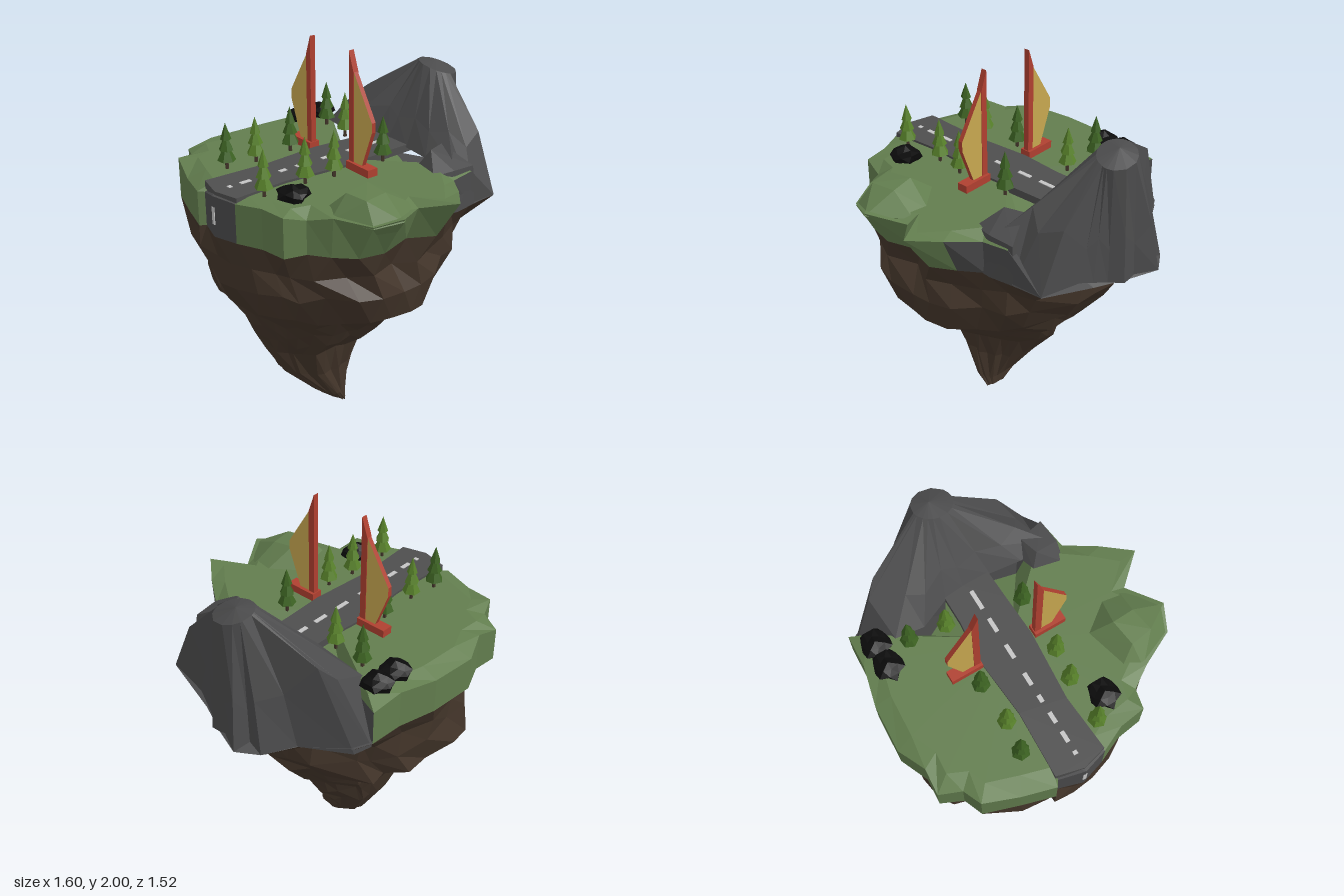
import * as THREE from 'three';
import { ConvexGeometry } from 'three/addons/geometries/ConvexGeometry.js';

const paint = (name, color) => {
  const m = new THREE.MeshStandardMaterial({ color });
  m.name = name;
  return m;
};
const MAT = {
  grass: paint('grass green', 0x627d4e),
  rock: paint('earth brown', 0x43352a),
  stone: paint('stone grey', 0x4b4b4c),
  road: paint('asphalt grey', 0x4e4e4e),
  line: paint('road marking', 0xc4c4c4),
  red: paint('tower red', 0xb04030),
  gold: paint('sail gold', 0xc8a850),
  leafA: paint('light leaf', 0x57802a),
  leafB: paint('dark leaf', 0x3c6222),
  black: paint('charcoal', 0x0c0c0c),
};
const V = (x, y, z) => new THREE.Vector3(x, y, z);
const lerp = THREE.MathUtils.lerp, clamp = THREE.MathUtils.clamp;

let seed = 7;
const rnd = () => ((seed = (seed * 16807) % 2147483647) / 2147483647) * 2 - 1;

function add(parent, name, geometry, material, x = 0, y = 0, z = 0) {
  const m = new THREE.Mesh(geometry, material);
  m.name = name;
  m.position.set(x, y, z);
  parent.add(m);
  return m;
}
function faceted(geometry) {
  const g = geometry.index ? geometry.toNonIndexed() : geometry;
  g.computeVertexNormals();
  return g;
}
// Faceted skin over closed rings listed bottom to top; keep(i, r) selects cells
function loft(rings, keep = () => true) {
  const pts = [];
  const tri = (a, b, c) => {
    if (!a.equals(b) && !b.equals(c) && !a.equals(c)) pts.push(a, b, c);
  };
  for (let r = 0; r + 1 < rings.length; r++) {
    const lo = rings[r], hi = rings[r + 1], n = lo.length;
    for (let i = 0; i < n; i++) {
      if (!keep(i, r)) continue;
      const j = (i + 1) % n;
      tri(lo[i], hi[i], hi[j]);
      tri(lo[i], hi[j], lo[j]);
    }
  }
  return faceted(new THREE.BufferGeometry().setFromPoints(pts));
}

// Island outline seen from above (x, z)
const OUTLINE = [
  [-0.53, -0.71], [-0.40, -0.70], [-0.25, -0.765], [0, -0.75], [0.2, -0.70], [0.38, -0.69],
  [0.45, -0.64], [0.58, -0.40], [0.73, -0.31], [0.80, -0.20], [0.74, -0.04], [0.66, 0.13],
  [0.59, 0.43], [0.40, 0.45], [0.26, 0.47], [0.15, 0.62], [0.03, 0.755], [-0.1, 0.61],
  [-0.28, 0.72], [-0.41, 0.66], [-0.50, 0.48], [-0.57, 0.37], [-0.68, 0.34], [-0.70, 0.2],
  [-0.76, 0.07], [-0.80, -0.06], [-0.76, -0.19], [-0.79, -0.21], [-0.74, -0.38],
  [-0.68, -0.56], [-0.58, -0.60],
];
const CX = -0.05, CZ = -0.02;
const rim = OUTLINE.map(([x, z]) => V(x,
  1.18 - 0.07 * clamp((x - 0.4) / 0.2, 0, 1) * clamp((0.45 - z) / 0.3, 0, 1),
  z > 0.45 ? 0.45 + (z - 0.45) * 0.5 : z));

// Brown rock: jittered rings fitted to bounds [y, xMin, xMax, zMin, zMax]
function buildRock(group) {
  const bounds = [
    [0.02, -0.14, -0.08, -0.08, 0.07], [0.08, -0.23, -0.06, -0.20, 0.08],
    [0.24, -0.39, 0.04, -0.29, 0.08], [0.40, -0.48, 0.17, -0.34, 0.10],
    [0.50, -0.53, 0.21, -0.41, 0.22], [0.60, -0.57, 0.31, -0.46, 0.31],
    [0.69, -0.60, 0.38, -0.56, 0.41], [0.77, -0.69, 0.46, -0.69, 0.55],
    [0.93, -0.77, 0.55, -0.69, 0.58], [1.05, -0.79, 0.56, -0.70, 0.56],
  ];
  const rings = bounds.map(([y, x0, x1, z0, z1], r) => {
    const ring = OUTLINE.map(([x, z]) => {
      const a = Math.atan2(z - CZ, x - CX), s = 1 + 0.09 * rnd();
      return V(lerp(Math.cos(a) * s, x, 0.25), y + rnd() * (r > 3 ? 0.022 : 0.008),
        lerp(Math.sin(a) * s, z, 0.25));
    });
    const box = new THREE.Box3().setFromPoints(ring);
    for (const p of ring) {
      p.x = THREE.MathUtils.mapLinear(p.x, box.min.x, box.max.x, x0, x1);
      p.z = THREE.MathUtils.mapLinear(p.z, box.min.z, box.max.z, z0, z1);
    }
    return ring;
  });
  const tip = rim.map(() => V(-0.1, 0, -0.05)), cap = rim.map(() => V(CX, 1.18, CZ));
  add(group, 'rockBody', loft([tip, ...rings, rim, cap]), MAT.rock);
}

// Grass plateau with grey walls beside the mountain and below the road end
function buildPlateau(group) {
  const shrink = (k, y) => ([x, z]) =>
    x > 0.42 ? V(lerp(CX, x, 0.5), 1.3, lerp(CZ, z, 0.5)) : V(lerp(CX, x, k), y(z), lerp(CZ, z, k));
  const rings = [rim,
    OUTLINE.map(shrink(1, (z) => (z > 0.7 ? 1.405 : 1.375 + 0.02 * rnd()))),
    OUTLINE.map(shrink(0.88, () => 1.4)),
    OUTLINE.map(() => V(CX, 1.4, CZ))];
  const isStone = (i, r) => {
    const [x, z] = OUTLINE[i], [x2, z2] = OUTLINE[(i + 1) % OUTLINE.length];
    const mx = (x + x2) / 2, mz = (z + z2) / 2;
    const roadEnd = mx < -0.7 && mz > -0.2 && mz < 0.08;
    return (roadEnd && r < 2) || (r === 0 && (mx > 0.4 || (mx > 0.15 && mz > 0.3)));
  };
  add(group, 'grassPlateau', loft(rings, (i, r) => !isStone(i, r)), MAT.grass);
  add(group, 'stoneWalls', loft(rings, isStone), MAT.stone);
  add(group, 'grassHill', new ConvexGeometry([
    V(-0.45, 1.39, 0.37), V(-0.22, 1.39, 0.31), V(-0.10, 1.39, 0.47), V(-0.10, 1.38, 0.57),
    V(-0.40, 1.475, 0.45), V(-0.26, 1.485, 0.43), V(-0.38, 1.47, 0.57), V(-0.25, 1.47, 0.55),
    V(-0.28, 1.39, 0.72), V(-0.41, 1.37, 0.66), V(-0.28, 1.2, 0.58), V(-0.50, 1.37, 0.46),
  ]), MAT.grass);
}

// Mountain: foot points [x, y, z, shoulder lift] rising to a small summit
function buildMountain(group) {
  const foot = [
    [0.24, 1.40, -0.50, 0], [0.38, 1.16, -0.685, 0.16], [0.45, 1.13, -0.64, 0.2],
    [0.58, 1.12, -0.40, 0.08], [0.73, 1.11, -0.31, 0.03], [0.72, 1.11, -0.23, 0],
    [0.80, 1.11, -0.20, 0.03], [0.74, 1.11, -0.08, 0], [0.745, 1.11, 0, 0.03],
    [0.69, 1.12, 0.06, 0], [0.66, 1.14, 0.13, 0.02], [0.63, 1.16, 0.20, 0],
    [0.59, 1.18, 0.43, 0.1], [0.43, 1.18, 0.45, 0.09], [0.30, 1.40, 0.42, 0],
    [0.28, 1.40, 0.24, 0], [0.30, 1.40, 0.07, 0], [0.30, 1.40, -0.08, 0],
    [0.29, 1.40, -0.19, 0.01], [0.22, 1.40, -0.35, 0.01],
  ];
  const base = foot.map(([x, y, z]) => V(x, y, z));
  const top = base.map((p) => {
    const a = Math.atan2(p.z + 0.055, p.x - 0.62);
    return V(0.62 + 0.095 * Math.cos(a), 1.745 - 0.02 * Math.cos(a) - 0.02 * Math.sin(a),
      -0.055 + 0.105 * Math.sin(a));
  });
  const mid = base.map((p, i) => {
    const m = p.clone().lerp(top[i], i % 2 ? 0.3 : 0.37);
    m.y += foot[i][3];
    return m;
  });
  add(group, 'mountain', loft([base, mid, top, base.map(() => V(0.62, 1.775, -0.07))]), MAT.stone);
  add(group, 'mountainFoot', new ConvexGeometry([
    V(0.17, 1.18, 0.46), V(0.17, 1.39, 0.42), V(0.21, 1.40, 0.27), V(0.25, 1.475, 0.31),
    V(0.35, 1.475, 0.28), V(0.42, 1.39, 0.44), V(0.43, 1.18, 0.45), V(0.28, 1.40, 0.45),
    V(0.31, 1.39, 0.24), V(0.30, 1.18, 0.47),
  ]), MAT.stone);
}

function buildRoad(group) {
  const shape = new THREE.Shape([[-0.75, -0.07], [-0.45, -0.05], [-0.08, -0.08], [0.15, -0.07],
    [0.42, -0.06], [0.42, 0.19], [0.15, 0.19], [-0.08, 0.21], [-0.4, 0.185], [-0.75, 0.2],
    [-0.785, 0.06]].map(([x, y]) => new THREE.Vector2(x, y)));
  const g = new THREE.ExtrudeGeometry(shape, { depth: 0.04, bevelEnabled: false }).rotateX(-Math.PI / 2);
  add(group, 'road', g, MAT.road, 0, 1.372, 0);
  const dashes = [[-0.71, -0.69], [-0.64, -0.58], [-0.53, -0.47], [-0.41, -0.37], [-0.31, -0.24],
    [-0.15, -0.07], [0.01, 0.09], [0.15, 0.26]];
  for (const [a, b] of dashes)
    add(group, 'laneDash', new THREE.BoxGeometry(b - a, 0.006, 0.022), MAT.line, (a + b) / 2, 1.413, -0.06);
  add(group, 'laneDashEnd', new THREE.BoxGeometry(0.008, 0.09, 0.02), MAT.line, -0.797, 1.29, -0.06);
}

// Red mast with a gold sail growing outward along local +z
function buildTower(group, z, turn) {
  const tower = new THREE.Group();
  tower.name = 'sailTower';
  tower.position.set(-0.08, 0, z);
  tower.rotation.y = turn;
  const slab = (pts, t) => new THREE.ExtrudeGeometry(
    new THREE.Shape(pts.map(([u, y]) => new THREE.Vector2(u, y))), { depth: t, bevelEnabled: false })
    .rotateY(-Math.PI / 2).translate(t / 2, 0, 0);
  add(tower, 'mast', slab([[0, 1.42], [0.035, 1.42], [0.035, 1.90], [0, 2]], 0.03), MAT.red);
  add(tower, 'sail', slab([[0.01, 1.42], [0.09, 1.42], [0.17, 1.63], [0.17, 1.68], [0.035, 1.90],
    [0.01, 1.95]], 0.024), [MAT.gold, MAT.red]);
  add(tower, 'towerBase', new THREE.BoxGeometry(0.06, 0.05, 0.17), MAT.red, 0, 1.415, 0.08);
  group.add(tower);
}

function buildTree(group, x, z, leaf) {
  const tree = new THREE.Group();
  tree.name = 'pineTree';
  tree.position.set(x, 1.4, z);
  add(tree, 'trunk', faceted(new THREE.CylinderGeometry(0.008, 0.01, 0.07, 5)), MAT.rock, 0, 0.03, 0);
  [[0.047, 0.10, 0.045], [0.038, 0.09, 0.10], [0.028, 0.085, 0.155]].forEach(([r, h, y], i) => {
    const cone = faceted(new THREE.ConeGeometry(r, h, 6));
    add(tree, 'foliage', cone, leaf, 0, y + h / 2, 0).rotation.y = i * 0.5 + x * 9;
  });
  group.add(tree);
}

// Spiky dark shrub
function buildShrub(group, x, z) {
  const g = new THREE.IcosahedronGeometry(1, 1), p = g.attributes.position;
  for (let i = 0; i < p.count; i++) {
    const v = V(0, 0, 0).fromBufferAttribute(p, i);
    const h = Math.sin(Math.round(v.x * 50) * 12.9 + Math.round(v.y * 50) * 78.2 + Math.round(v.z * 50) * 37.7);
    v.multiplyScalar(1 + 0.2 * h);
    p.setXYZ(i, v.x * 0.075, v.y * 0.047, v.z * 0.075);
  }
  add(group, 'shrub', faceted(g), MAT.black, x, 1.418, z);
}

export function createModel() {
  const group = new THREE.Group();
  group.name = 'floatingIsland';
  buildRock(group);
  buildPlateau(group);
  buildMountain(group);
  buildRoad(group);
  buildTower(group, 0.09, 0);
  buildTower(group, -0.215, Math.PI);
  const light = [[-0.62, 0.11], [-0.41, -0.26], [-0.38, 0.11], [-0.22, 0.13], [0.16, -0.26]];
  const dark = [[-0.57, -0.28], [-0.19, -0.27], [0.09, 0.13], [0.185, -0.45]];
  for (const [x, z] of light) buildTree(group, x, z, MAT.leafA);
  for (const [x, z] of dark) buildTree(group, x, z, MAT.leafB);
  for (const [x, z] of [[-0.53, 0.21], [0.125, -0.60], [0.25, -0.60]]) buildShrub(group, x, z);
  return group;
}
